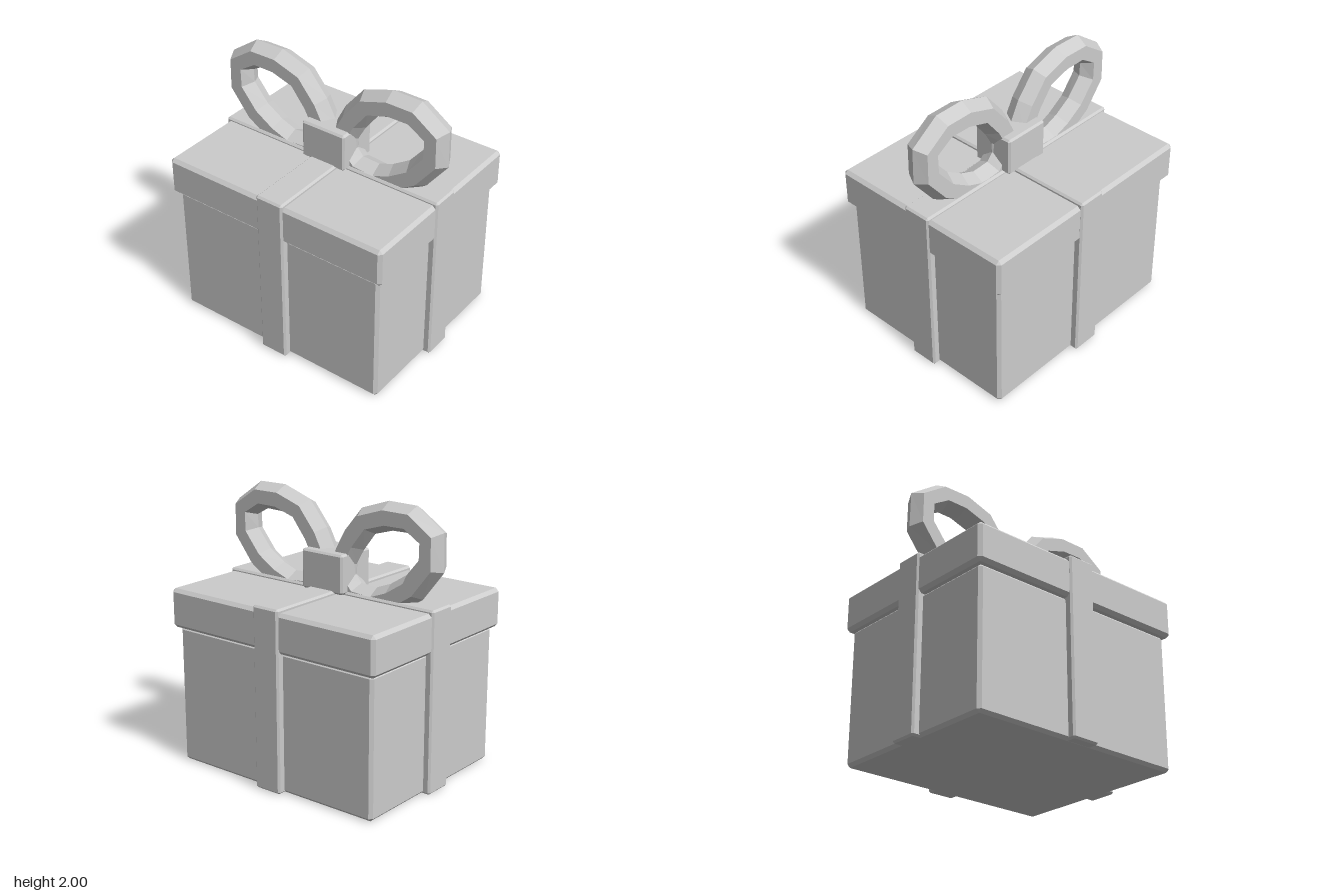
import * as THREE from 'three';
import { ConvexGeometry } from 'three/addons/geometries/ConvexGeometry.js';

// Box with every edge cut at 45 degrees: half sizes hx, hz, from y0 to y1
function chamferBox(hx, hz, y0, y1, c) {
  const hy = (y1 - y0) / 2, pts = [];
  for (const sx of [-1, 1]) for (const sy of [-1, 1]) for (const sz of [-1, 1]) {
    pts.push(
      new THREE.Vector3(sx * hx, sy * (hy - c), sz * (hz - c)),
      new THREE.Vector3(sx * (hx - c), sy * hy, sz * (hz - c)),
      new THREE.Vector3(sx * (hx - c), sy * (hy - c), sz * hz));
  }
  return new ConvexGeometry(pts).translate(0, (y0 + y1) / 2, 0);
}

// Centre line of the bow loop on the +x side, counter-clockwise
const LOOP = [
  [0.825, 1.605], [0.825, 1.79], [0.665, 1.895], [0.478, 1.895], [0.29, 1.835], [0.165, 1.68],
  [0.09, 1.54], [0.09, 1.4], [0.19, 1.29], [0.38, 1.275], [0.53, 1.33], [0.685, 1.43],
];

// Closed ring with a hexagonal section swept along the centre line
function loopGeometry(side) {
  const section = [[0.102, 0], [0.052, 0.092], [-0.052, 0.092], [-0.102, 0], [-0.052, -0.092], [0.052, -0.092]];
  const n = LOOP.length, m = section.length, pos = [], index = [];
  for (let i = 0; i < n; i++) {
    const a = LOOP[(i + n - 1) % n], b = LOOP[(i + 1) % n], p = LOOP[i];
    const t = new THREE.Vector2(b[0] - a[0], b[1] - a[1]).normalize();
    for (const [r, z] of section) pos.push(side * (p[0] + t.y * r), p[1] - t.x * r, z);
    for (let j = 0; j < m; j++) {
      const k = (j + 1) % m, i1 = (i + 1) % n;
      const q = [i * m + j, i1 * m + j, i1 * m + k, i * m + k];
      if (side < 0) q.reverse();
      index.push(q[0], q[1], q[2], q[0], q[2], q[3]);
    }
  }
  let g = new THREE.BufferGeometry();
  g.setAttribute('position', new THREE.Float32BufferAttribute(pos, 3));
  g.setIndex(index);
  g = g.toNonIndexed();
  g.computeVertexNormals();
  return g;
}

export function createModel() {
  const group = new THREE.Group();
  const grey = new THREE.MeshStandardMaterial({ color: 0xcccccc, flatShading: true });
  grey.name = 'light grey';
  const add = (name, geometry) => {
    const mesh = new THREE.Mesh(geometry, grey);
    mesh.name = name;
    group.add(mesh);
  };

  // Box and lid
  add('boxBody', chamferBox(0.865, 0.702, 0, 1.025, 0.023));
  add('lid', chamferBox(0.905, 0.742, 1.02, 1.308, 0.025));

  // Crossing ribbons
  add('ribbonFrontToBack', chamferBox(0.11, 0.757, 0.002, 1.335, 0.014));
  add('ribbonSideToSide', chamferBox(0.917, 0.11, 0, 1.33, 0.014));

  // Bow
  add('bowLoopLeft', loopGeometry(1));
  add('bowLoopRight', loopGeometry(-1));
  add('bowKnot', chamferBox(0.18, 0.16, 1.315, 1.6, 0.014));
  return group;
}
